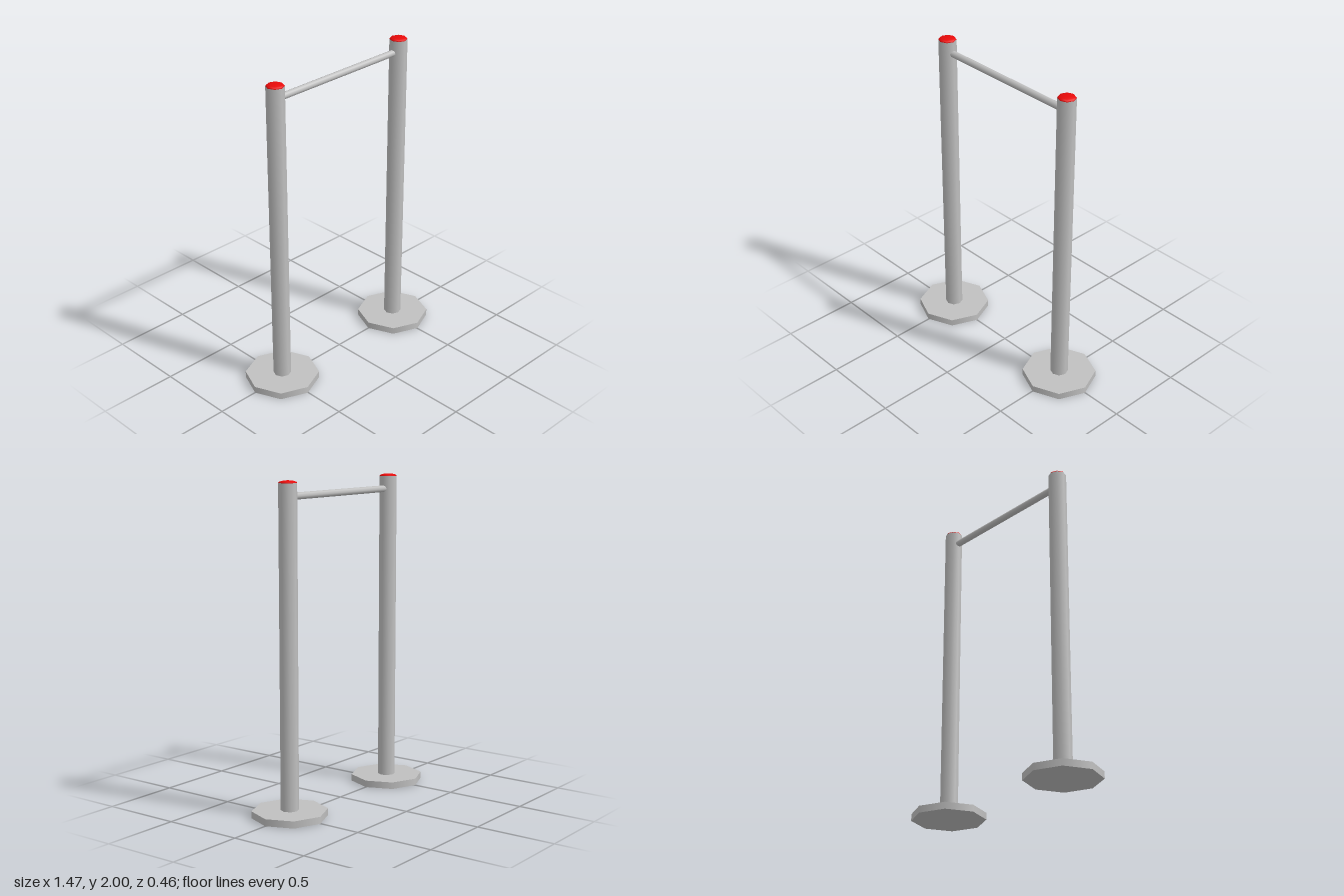
import * as THREE from 'three';

export function createModel() {
  const group = new THREE.Group();
  const steel = new THREE.MeshStandardMaterial({ color: 0xc0c0c0 });
  steel.name = 'steel grey';
  const red = new THREE.MeshStandardMaterial({ color: 0xec0a0a });
  red.name = 'cap red';

  const postX = 0.503, postR = 0.055, postTop = 1.985, baseH = 0.043;

  function add(parent, name, geometry, material, y) {
    const mesh = new THREE.Mesh(geometry, material);
    mesh.name = name;
    mesh.position.y = y;
    parent.add(mesh);
    return mesh;
  }

  // Two matching stands: octagonal foot, post and low domed cap
  for (const [side, sign] of [['left', 1], ['right', -1]]) {
    const stand = new THREE.Group();
    stand.name = side + 'Stand';
    stand.position.x = sign * postX;
    add(stand, side + 'Base', new THREE.CylinderGeometry(0.23, 0.23, baseH, 8), steel, baseH / 2);
    const postH = postTop - baseH;
    add(stand, side + 'Post', new THREE.CylinderGeometry(postR, postR, postH, 8, 1, true), steel, baseH + postH / 2);
    const dome = new THREE.SphereGeometry(postR, 8, 4, 0, Math.PI * 2, 0, Math.PI / 2);
    dome.scale(1, (2 - postTop) / postR, 1);
    add(stand, side + 'Cap', dome, red, postTop);
    group.add(stand);
  }

  // Horizontal bar joining the posts
  const bar = new THREE.CylinderGeometry(0.021, 0.021, 2 * (postX - 0.035), 8);
  bar.rotateZ(Math.PI / 2);
  add(group, 'crossbar', bar, steel, 1.906);

  return group;
}
